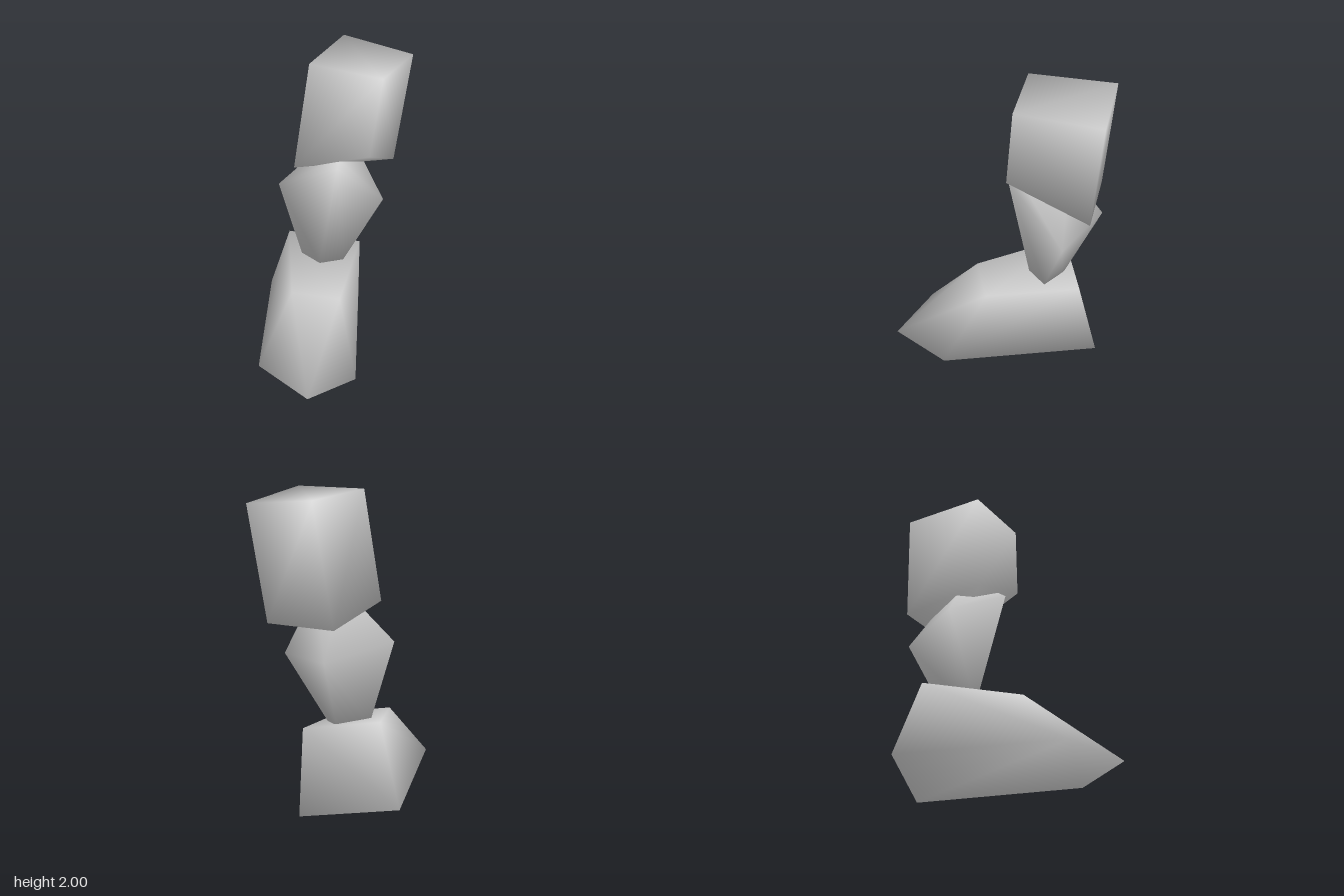
import * as THREE from 'three';
import { ConvexGeometry } from 'three/addons/geometries/ConvexGeometry.js';

const stoneGrey = new THREE.MeshStandardMaterial({ name: 'stone grey', color: 0xcccccc });

// Smooth normals: every face counts by the angle it spans at the corner
function smoothNormals(geometry) {
  const { position, normal } = geometry.attributes;
  const points = [];
  for (let i = 0; i < position.count; i++) points.push(new THREE.Vector3().fromBufferAttribute(position, i));
  const key = (p) => p.toArray().join();
  const sums = new Map();
  points.forEach((p, i) => {
    const first = i - (i % 3);
    const a = points[first + ((i + 1) % 3)].clone().sub(p);
    const b = points[first + ((i + 2) % 3)].clone().sub(p);
    const sum = sums.get(key(p)) ?? new THREE.Vector3();
    sums.set(key(p), sum.addScaledVector(a.clone().cross(b).normalize(), a.angleTo(b)));
  });
  points.forEach((p, i) => {
    const n = sums.get(key(p)).clone().normalize();
    normal.setXYZ(i, n.x, n.y, n.z);
  });
}

// A convex boulder around a few corner points, shaded smoothly across its edges
function stone(name, corners) {
  const geometry = new ConvexGeometry(corners.map((c) => new THREE.Vector3(...c)));
  smoothNormals(geometry);
  const mesh = new THREE.Mesh(geometry, stoneGrey);
  mesh.name = name;
  return mesh;
}

export function createModel() {
  const group = new THREE.Group();
  group.name = 'stackedStones';

  // Long wedge lying on the ground
  group.add(stone('baseStone', [
    [0.26, 0, -0.56], [-0.36, 0.1, -0.69], [-0.57, 0.13, 0.34],
    [-0.3, 0.095, 0.69], [0.05, 0.04, 0.47],
    [-0.24, 0.61, -0.53], [0.24, 0.535, -0.43], [0, 0.465, 0.15], [-0.31, 0.51, 0.09],
  ]));

  // Narrow stone standing on its tip, its crown sunk into the top stone
  group.add(stone('middleStone', [
    [-0.18, 0.54, -0.3], [-0.08, 0.53, -0.2], [0.09, 0.52, -0.24], [0.03, 0.53, -0.4],
    [-0.325, 1.08, -0.37], [0.36, 0.97, -0.24], [0.1, 1.01, -0.64],
    [0.01, 1.345, -0.01], [0.03, 1.385, -0.07], [0.15, 1.42, -0.37], [0, 1.41, -0.3],
  ]));

  // Tilted block with one raised lower corner
  group.add(stone('topStone', [
    [-0.135, 2, -0.2], [0.28, 1.985, 0.07], [0.57, 1.935, -0.395], [0.165, 1.988, -0.668],
    [-0.245, 1.295, -0.18], [0.2, 1.465, 0.078], [0.455, 1.195, -0.38], [0.04, 1.215, -0.655],
  ]));

  return group;
}
